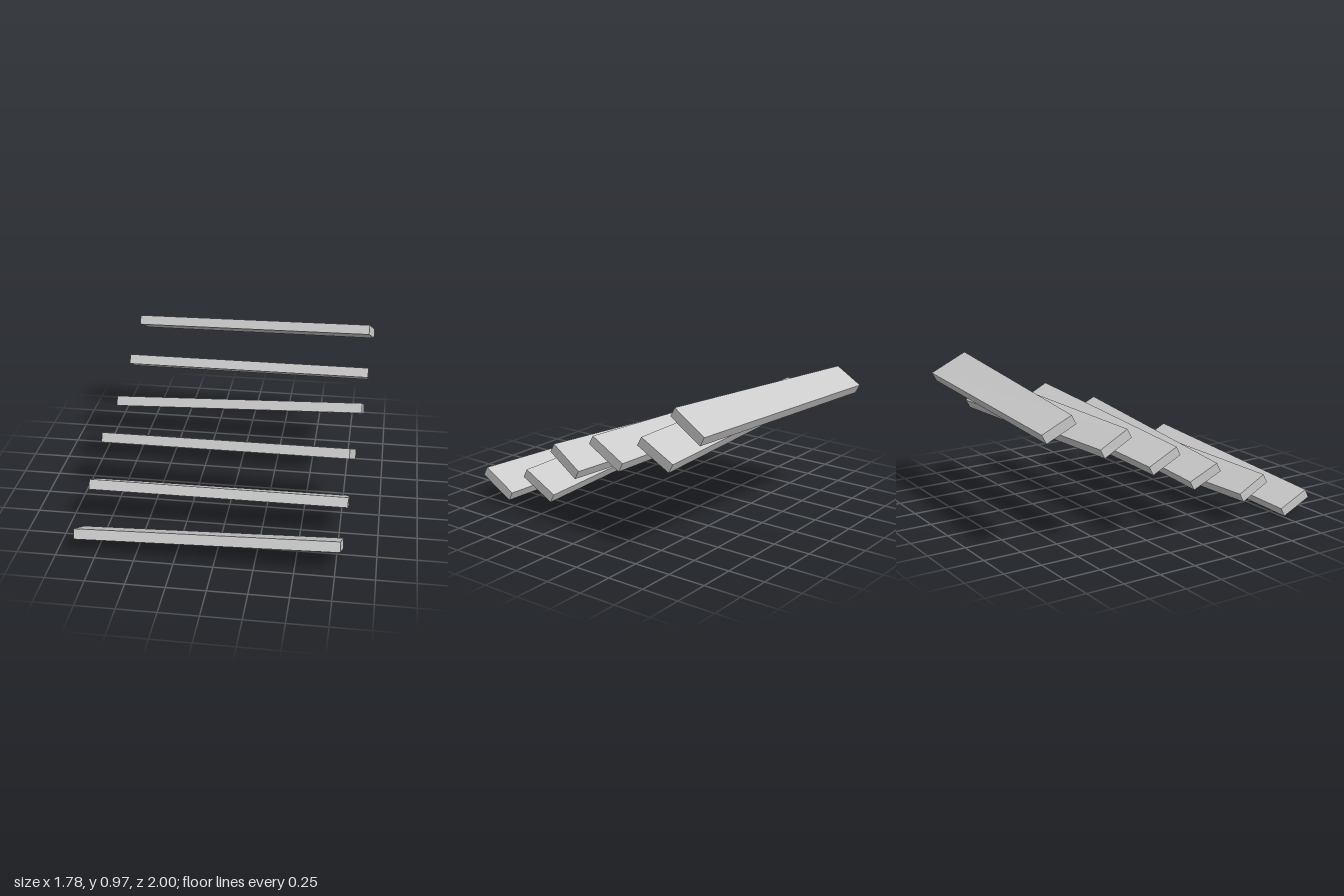
import * as THREE from 'three';

const THICKNESS = 0.065;

// Top-face corners of the three plank poses: [-x front, +x front, -x back, +x back]
const POSES = [
  [[-0.89, 0.159, 0.93], [0.777, 0.235, 0.967], [-0.879, 0.058, 0.736], [0.787, 0.108, 0.726]],
  [[-0.868, 0.318, 0.582], [0.8, 0.311, 0.57], [-0.865, 0.217, 0.394], [0.8, 0.187, 0.336]],
  [[-0.87, 0.458, 0.197], [0.788, 0.531, 0.333], [-0.844, 0.36, 0.012], [0.822, 0.405, 0.098]],
];
// The same three planks repeat further up the flight
const STEP = new THREE.Vector3(0.066, 0.438, -1.012);

// A box whose corners are moved to the tapered, tilted top face and its offset underside
function plankGeometry(corners) {
  const [fl, fr, bl, br] = corners.map((c) => new THREE.Vector3(...c));
  const along = fr.clone().add(br).sub(fl).sub(bl);
  const across = fl.clone().add(fr).sub(bl).sub(br);
  const down = across.cross(along).normalize().multiplyScalar(-THICKNESS);

  const geometry = new THREE.BoxGeometry(1, 1, 1);
  const pos = geometry.attributes.position;
  for (let i = 0; i < pos.count; i++) {
    const right = pos.getX(i) > 0;
    const front = pos.getZ(i) > 0;
    const p = (front ? (right ? fr : fl) : (right ? br : bl)).clone();
    if (pos.getY(i) < 0) p.add(down);
    pos.setXYZ(i, p.x, p.y, p.z);
  }
  geometry.computeVertexNormals();
  return geometry;
}

export function createModel() {
  const group = new THREE.Group();
  group.name = 'floatingPlankSteps';
  const material = new THREE.MeshStandardMaterial({ color: 0xcccccc, flatShading: true });
  const geometries = POSES.map(plankGeometry);

  // Lower and upper runs of three planks
  for (let run = 0; run < 2; run++) {
    geometries.forEach((geometry, i) => {
      const plank = new THREE.Mesh(geometry, material);
      plank.name = `plank${run * 3 + i + 1}`;
      plank.position.copy(STEP).multiplyScalar(run);
      group.add(plank);
    });
  }
  return group;
}
